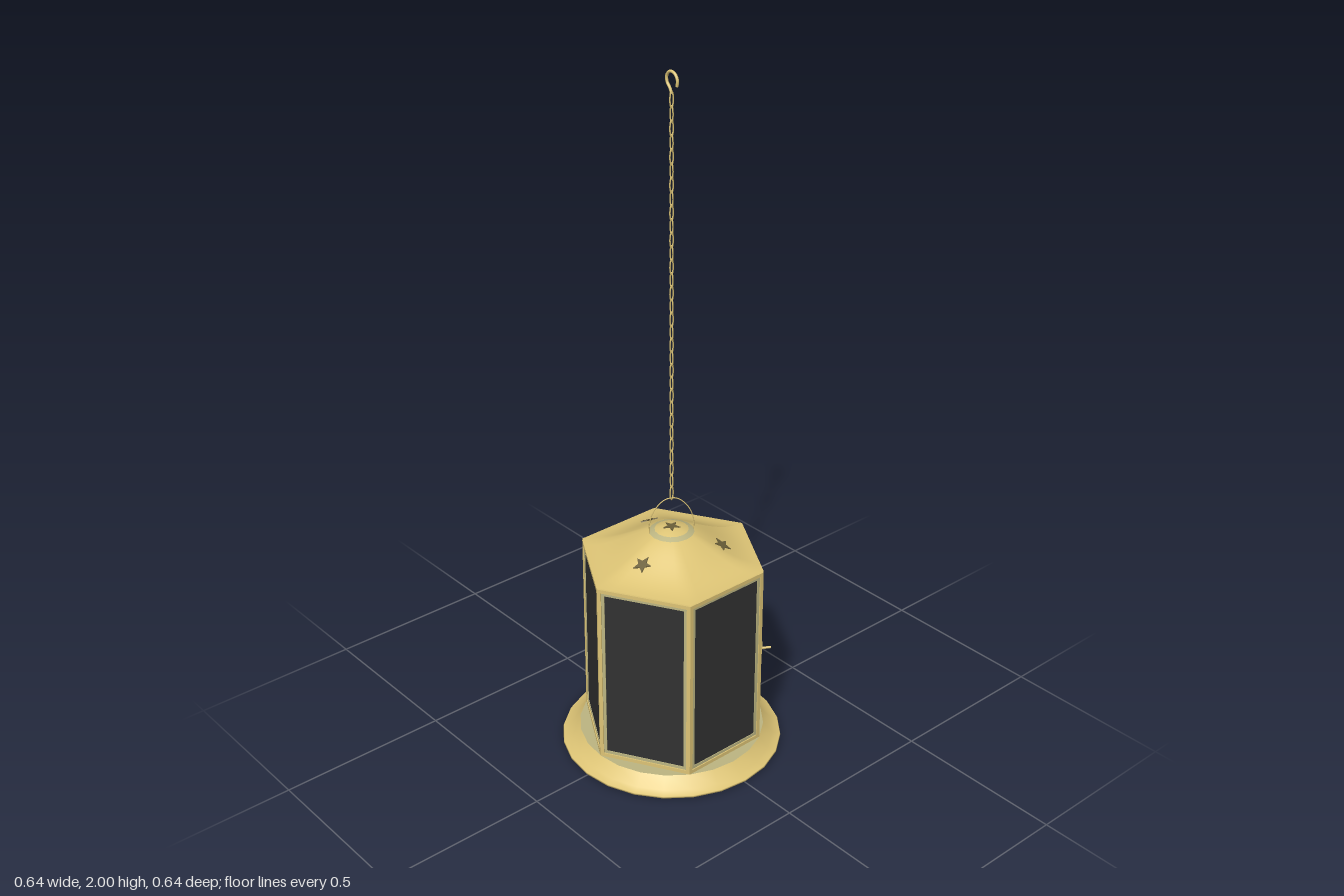
import * as THREE from 'three';

const brass = new THREE.MeshStandardMaterial({ color: 0xdec576, side: THREE.DoubleSide });
brass.name = 'brass';
const agedBrass = new THREE.MeshStandardMaterial({ color: 0xbdb682, side: THREE.DoubleSide });
agedBrass.name = 'agedBrass';
const darkBrass = new THREE.MeshStandardMaterial({ color: 0x6b5f39 });
darkBrass.name = 'darkBrass';
const smokedGlass = new THREE.MeshStandardMaterial({ color: 0x323232 });
smokedGlass.name = 'smokedGlass';

const R = 0.27;                       // hexagon corner radius
const APOTHEM = R * Math.cos(Math.PI / 6);
const BOTTOM = 0.045, TOP = 0.605;

function add(parent, name, geometry, material) {
  const mesh = new THREE.Mesh(geometry, material);
  mesh.name = name;
  parent.add(mesh);
  return mesh;
}

const V2 = (x, y) => new THREE.Vector2(x, y);

// Distance from the centre to a hexagon edge, corners on the x axis
function hexRadius(a) {
  const s = Math.PI / 3;
  const t = ((a % s) + s) % s - s / 2;
  return APOTHEM / Math.cos(t);
}

// Dome height by distance from the axis
const roofHeight = f => TOP + 0.004 + 0.094 * (0.15 * (1 - f) + 0.85 * (0.5 + 0.5 * Math.cos(Math.PI * f)));

// Roof: hexagonal eave blending to a round crown
function roofGeometry() {
  const seg = 48, rings = 14, pos = [], idx = [];
  for (let j = 0; j <= rings; j++) {
    const f = j / rings;
    for (let i = 0; i <= seg; i++) {
      const a = (i / seg) * Math.PI * 2;
      const r = f * THREE.MathUtils.lerp(APOTHEM, hexRadius(a), f);
      pos.push(r * Math.cos(a), roofHeight(f), -r * Math.sin(a));
    }
  }
  for (let j = 0; j < rings; j++) {
    for (let i = 0; i < seg; i++) {
      const a = j * (seg + 1) + i, b = a + seg + 1;
      idx.push(a, b, b + 1);
      if (j > 0) idx.push(a, b + 1, a + 1);
    }
  }
  const g = new THREE.BufferGeometry();
  g.setAttribute('position', new THREE.Float32BufferAttribute(pos, 3));
  g.setIndex(idx);
  g.computeVertexNormals();
  return g;
}

// Flat five-pointed star facing +y
function starGeometry(radius) {
  const pts = [];
  for (let i = 0; i < 10; i++) {
    const r = i % 2 ? radius * 0.45 : radius, a = (i * Math.PI) / 5 + Math.PI / 2;
    pts.push(V2(r * Math.cos(a), r * Math.sin(a)));
  }
  return new THREE.ExtrudeGeometry(new THREE.Shape(pts), { depth: 0.003, bevelEnabled: false })
    .rotateX(-Math.PI / 2);
}

function rect(w, h) {
  return [V2(-w / 2, -h / 2), V2(w / 2, -h / 2), V2(w / 2, h / 2), V2(-w / 2, h / 2)];
}

function frameGeometry(w, h, border, depth) {
  const shape = new THREE.Shape(rect(w, h));
  shape.holes.push(new THREE.Path(rect(w - 2 * border, h - 2 * border)));
  return new THREE.ExtrudeGeometry(shape, { depth, bevelEnabled: false });
}

class LinkCurve extends THREE.Curve {
  getPoint(t, target = new THREE.Vector3()) {
    const a = t * Math.PI * 2;
    return target.set(0.0055 * Math.cos(a), 0.022 * Math.sin(a), 0);
  }
}

export function createModel() {
  const model = new THREE.Group();
  model.name = 'hangingLantern';

  // Hollow round base: thin brim, sloped wall and raised floor
  const profile = [[0.31, 0], [0.322, 0.005], [0.32, 0.009], [0.297, 0.014], [R, BOTTOM]];
  const brim = new THREE.LatheGeometry(profile.map(p => V2(...p)), 24);
  add(model, 'baseRim', brim, brass);
  add(model, 'baseTop', new THREE.CircleGeometry(R, 24).rotateX(-Math.PI / 2), agedBrass).position.y = BOTTOM;
  add(model, 'baseUnderside', new THREE.CircleGeometry(R, 24).rotateX(Math.PI / 2), brass).position.y = BOTTOM - 0.004;
  add(model, 'baseStar', starGeometry(0.025), darkBrass).position.y = BOTTOM - 0.006;

  // Six framed glass sides
  const H = TOP - BOTTOM, midY = (TOP + BOTTOM) / 2;
  for (let i = 0; i < 6; i++) {
    const side = new THREE.Group();
    side.name = 'lanternSide' + (i + 1);
    side.rotation.y = (i * Math.PI) / 3;
    side.position.y = midY;
    add(side, 'sideFrame', frameGeometry(R, H, 0.011, 0.008), brass).position.z = APOTHEM - 0.008;
    add(side, 'innerTrim', frameGeometry(R - 0.02, H - 0.02, 0.01, 0.006), agedBrass).position.z = APOTHEM - 0.009;
    add(side, 'glassPanel', new THREE.BoxGeometry(R - 0.036, H - 0.036, 0.004), smokedGlass).position.z = APOTHEM - 0.007;
    model.add(side);
  }

  // Door latch beside the front corner
  const latch = new THREE.Group();
  latch.name = 'doorLatch';
  latch.rotation.y = Math.PI / 3;
  add(latch, 'latchPlate', new THREE.BoxGeometry(0.012, 0.04, 0.003), brass)
    .position.set(-0.124, 0.35, APOTHEM + 0.0015);
  add(latch, 'latchPin', new THREE.CylinderGeometry(0.0035, 0.0035, 0.03, 8).rotateX(Math.PI / 2), brass)
    .position.set(-0.122, 0.345, APOTHEM + 0.015);
  model.add(latch);

  // Domed roof with a worn ring around the crown
  add(model, 'roof', roofGeometry(), brass);
  const ring = [0.064, 0.056, 0.048].map(r => V2(r, roofHeight(r / 0.237) + 0.0015));
  add(model, 'crownRing', new THREE.LatheGeometry(ring, 16), agedBrass);

  // Star openings on the roof, tilted to its slope
  for (const [x, z, turn] of [[0.034, -0.138, 0.15], [-0.137, 0.036, -0.2], [0.1, 0.1, 0.1]]) {
    const r = Math.hypot(x, z), f = r / 0.25;
    const slope = (roofHeight(f - 0.05) - roofHeight(f + 0.05)) / 0.025;
    const star = add(model, 'roofStar', starGeometry(0.027).rotateY(turn), darkBrass);
    star.position.set(x, roofHeight(f), z);
    const normal = new THREE.Vector3((x / r) * slope, 1, (z / r) * slope).normalize();
    star.quaternion.setFromUnitVectors(new THREE.Vector3(0, 1, 0), normal);
  }
  add(model, 'crownStar', starGeometry(0.025), darkBrass).position.y = 0.7;

  // Wire bail above the crown
  const bailPath = new THREE.CatmullRomCurve3([
    [-0.062, 0.685], [-0.063, 0.715], [-0.05, 0.755], [-0.022, 0.786], [0, 0.792],
    [0.022, 0.786], [0.05, 0.755], [0.063, 0.715], [0.062, 0.685],
  ].map(([x, y]) => new THREE.Vector3(x, y, 0)));
  add(model, 'bail', new THREE.TubeGeometry(bailPath, 32, 0.0016, 6), brass).rotation.y = -Math.PI / 6;

  // Chain of alternating oval links
  const chain = new THREE.Group();
  chain.name = 'chain';
  const linkGeometry = new THREE.TubeGeometry(new LinkCurve(), 16, 0.002, 6, true);
  const links = 31, first = 0.808, last = 1.925;
  for (let i = 0; i < links; i++) {
    const link = add(chain, 'chainLink', linkGeometry, brass);
    link.position.y = first + ((last - first) * i) / (links - 1);
    link.rotation.y = i % 2 ? Math.PI / 2 : 0;
  }
  model.add(chain);

  // Open hook at the top
  const hookPath = new THREE.CatmullRomCurve3([
    [0.02, 1.962], [0.022, 1.978], [0.012, 1.993], [-0.005, 1.996], [-0.018, 1.984],
    [-0.017, 1.967], [-0.006, 1.953], [0, 1.94],
  ].map(([z, y]) => new THREE.Vector3(0, y, z)));
  add(model, 'hook', new THREE.TubeGeometry(hookPath, 32, 0.004, 8), brass);

  return model;
}
